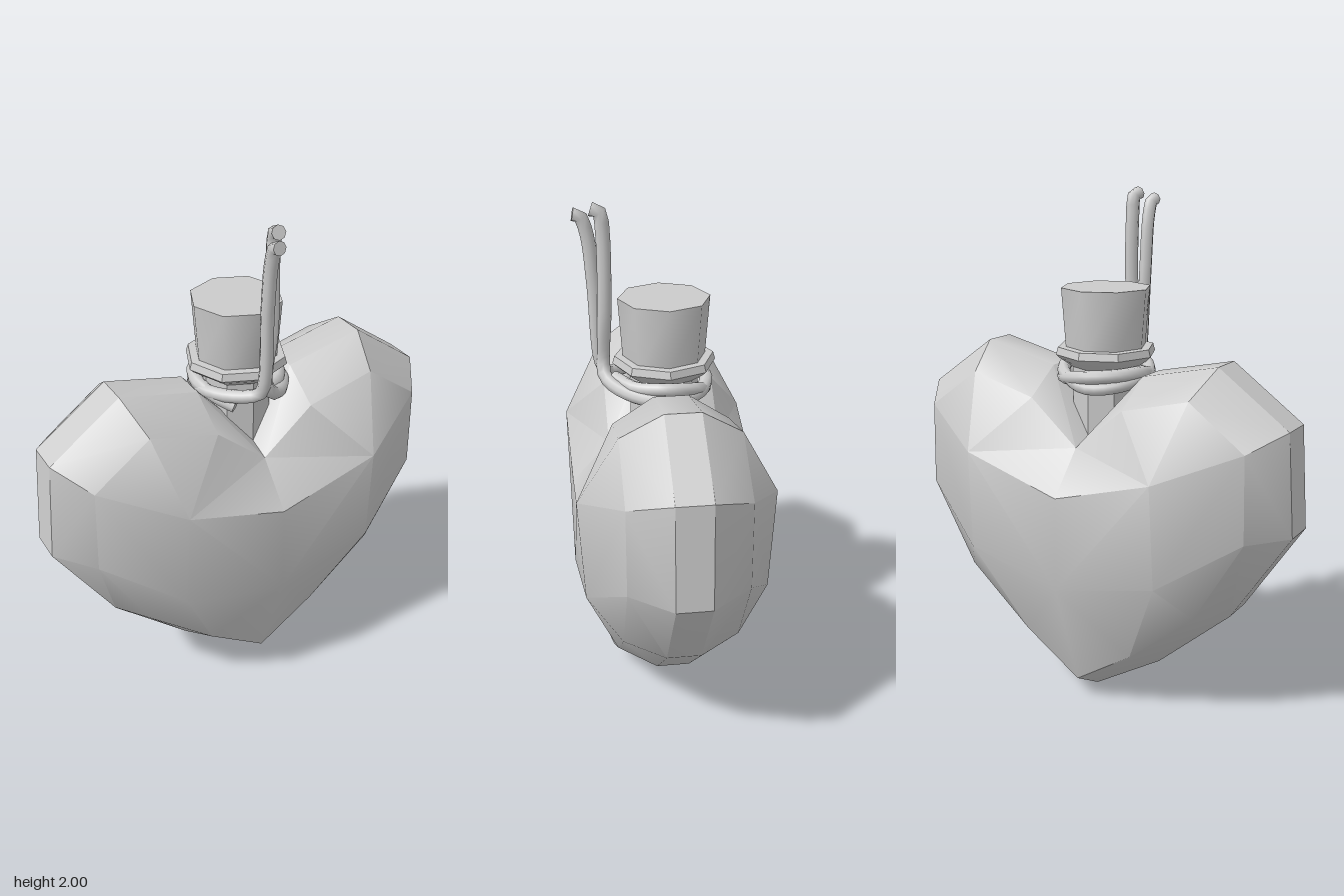
import * as THREE from 'three';
import { toCreasedNormals } from 'three/addons/utils/BufferGeometryUtils.js';

const material = () => new THREE.MeshStandardMaterial({ color: 0xcccccc });

function addMesh(group, name, geometry, crease) {
  const mesh = new THREE.Mesh(crease ? toCreasedNormals(geometry, crease) : geometry, material());
  mesh.name = name;
  group.add(mesh);
  return mesh;
}

// Half outlines of the heart, from bottom tip to top notch: x, y, z.
const RIM = [[0, 0], [0.29, 0.18], [0.59, 0.45], [0.82, 0.81], [0.79, 1.2], [0.51, 1.4], [0.2, 1.33], [0, 1.11]]
  .map(([x, y]) => [x, y, 0.065]);
const BEVEL = [[0, 0.09], [0.24, 0.25], [0.51, 0.48], [0.7, 0.81], [0.69, 1.14], [0.47, 1.3], [0.2, 1.23], [0, 1.06]]
  .map(([x, y]) => [x, y, 0.217]);
const FACE_LOW = [0.41, 0.62, 0.345], FACE_HIGH = [0.4, 1.02, 0.367];
const FACE_BOTTOM = [0, 0.53, 0.367], FACE_NOTCH = [0, 0.9, 0.362];
const FACE = [FACE_BOTTOM, FACE_LOW, FACE_LOW, FACE_LOW, FACE_HIGH, FACE_HIGH, FACE_HIGH, FACE_NOTCH];

function heartGeometry() {
  const positions = [];
  // Adds a triangle mirrored to any of the four quarters, keeping it facing outwards.
  const triangle = (a, b, c, sx, sz) => {
    if (a === b || b === c || a === c) return;
    const corners = sx * sz > 0 ? [a, b, c] : [a, c, b];
    for (const p of corners) positions.push(p[0] * sx, p[1], p[2] * sz);
  };
  const back = RIM.map(([x, y, z]) => [x, y, -z]);
  for (const sx of [1, -1]) {
    for (const sz of [1, -1]) {
      for (let i = 0; i < 7; i++) {
        // Rim to bevel
        triangle(RIM[i], RIM[i + 1], BEVEL[i + 1], sx, sz);
        triangle(RIM[i], BEVEL[i + 1], BEVEL[i], sx, sz);
        // Bevel to face
        triangle(BEVEL[i], BEVEL[i + 1], FACE[i], sx, sz);
        triangle(BEVEL[i + 1], FACE[i + 1], FACE[i], sx, sz);
      }
      // Flat middle of the face
      triangle(FACE_BOTTOM, FACE_LOW, FACE_HIGH, sx, sz);
      triangle(FACE_BOTTOM, FACE_HIGH, FACE_NOTCH, sx, sz);
    }
    // Narrow band round the edge
    for (let i = 0; i < 7; i++) {
      triangle(back[i], back[i + 1], RIM[i + 1], sx, 1);
      triangle(back[i], RIM[i + 1], RIM[i], sx, 1);
    }
  }
  const geometry = new THREE.BufferGeometry();
  geometry.setAttribute('position', new THREE.Float32BufferAttribute(positions, 3));
  return geometry;
}

// Cord: a round tube with closed ends along a smooth path.
function addCord(group, name, points, radius) {
  const path = new THREE.CatmullRomCurve3(points.map((p) => new THREE.Vector3(...p)), false, 'centripetal');
  addMesh(group, name, new THREE.TubeGeometry(path, 48, radius, 8));
  for (const t of [0, 1]) {
    const cap = addMesh(group, name + 'End', new THREE.CircleGeometry(radius, 8));
    const outward = path.getTangent(t).multiplyScalar(t ? 1 : -1);
    cap.position.copy(path.getPoint(t));
    cap.quaternion.setFromUnitVectors(new THREE.Vector3(0, 0, 1), outward);
  }
}

export function createModel() {
  const model = new THREE.Group();
  model.name = 'heartBottle';

  addMesh(model, 'heartBody', heartGeometry(), 0.6);

  // Neck with a flared lip
  const neckProfile = [[0.13, 1.08], [0.13, 1.34], [0.18, 1.375], [0.196, 1.39], [0.188, 1.418], [0.14, 1.42]]
    .map(([r, y]) => new THREE.Vector2(r, y));
  addMesh(model, 'neck', new THREE.LatheGeometry(neckProfile, 8), 0.6);

  // Cork
  const cork = addMesh(model, 'cork', new THREE.CylinderGeometry(0.173, 0.155, 0.25, 8), 0.9);
  cork.position.y = 1.517;

  // Cord wound round the neck, its two ends standing up in front
  const cord = new THREE.Group();
  cord.name = 'cord';
  model.add(cord);
  addCord(cord, 'rightCord', [
    [0.01, 1.975, 0.262], [0.015, 1.965, 0.232], [0.015, 1.9, 0.222], [0.015, 1.6, 0.222], [-0.01, 1.4, 0.23],
    [0.02, 1.345, 0.225], [0.1, 1.31, 0.16], [0.17, 1.295, 0.03], [0.12, 1.3, -0.11], [0, 1.32, -0.16],
    [-0.12, 1.33, -0.11], [-0.165, 1.33, 0], [-0.13, 1.3, 0.1], [-0.09, 1.28, 0.15],
  ], 0.026);
  addCord(cord, 'leftCord', [
    [-0.025, 1.95, 0.325], [-0.025, 1.945, 0.3], [-0.025, 1.88, 0.276], [-0.025, 1.7, 0.258], [-0.022, 1.4, 0.24],
    [-0.03, 1.35, 0.22], [-0.11, 1.325, 0.14], [-0.165, 1.315, 0.02], [-0.12, 1.29, -0.11], [0, 1.28, -0.155],
    [0.12, 1.32, -0.11], [0.165, 1.34, 0], [0.11, 1.33, 0.12], [0.02, 1.34, 0.19],
  ], 0.025);

  return model;
}
